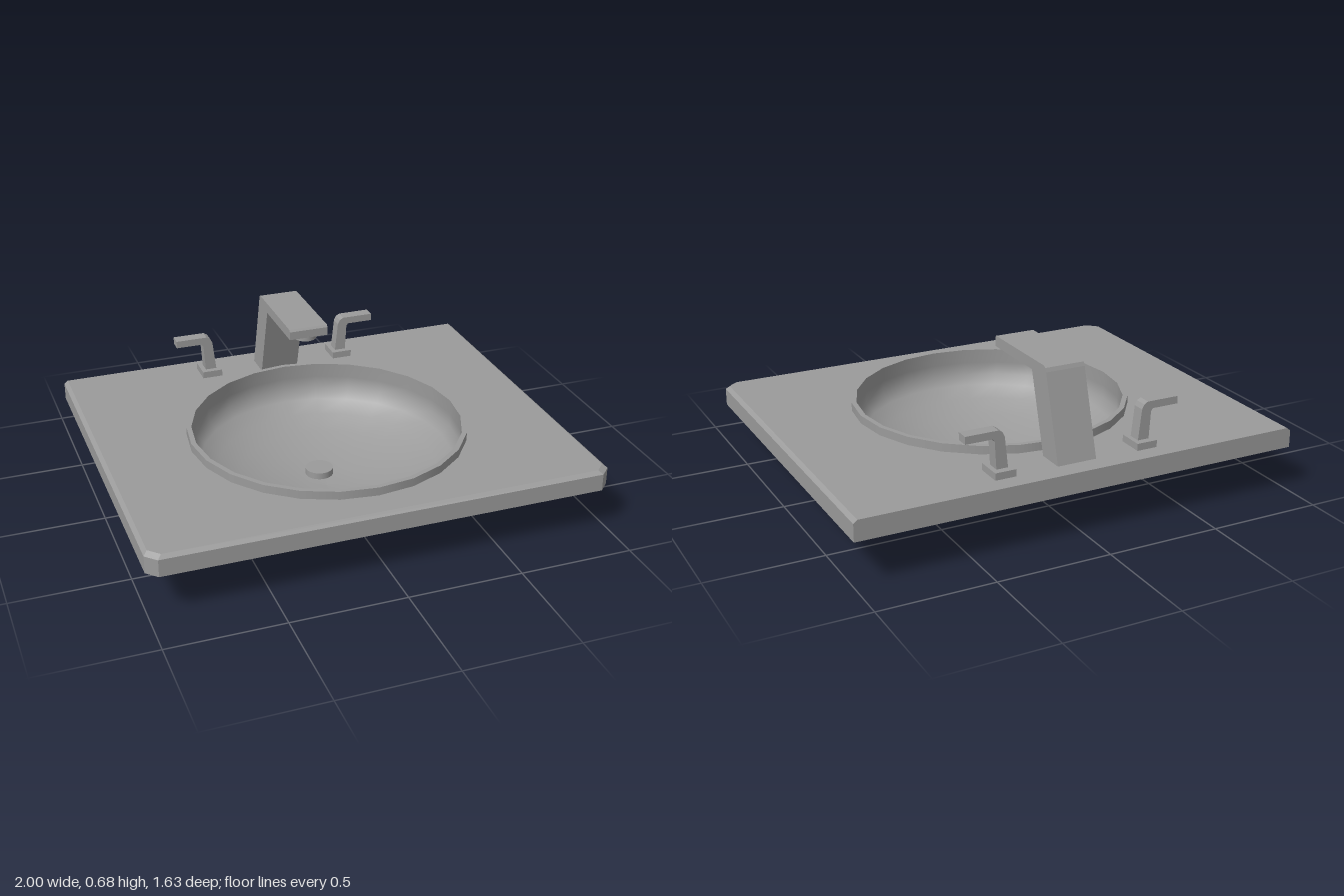
import * as THREE from 'three';

const BOWL_Z = 0.058;
const SIDES = 24;

export function createModel() {
  const group = new THREE.Group();
  const grey = new THREE.MeshStandardMaterial({ color: 0x9b9b9b });
  const shell = new THREE.MeshStandardMaterial({ color: 0x9b9b9b, side: THREE.DoubleSide });

  function add(name, geometry, x = 0, y = 0, z = 0, material = grey, parent = group) {
    const mesh = new THREE.Mesh(geometry, material);
    mesh.name = name;
    mesh.position.set(x, y, z);
    parent.add(mesh);
  }
  const shapeOf = (points) => new THREE.Shape(points.map(([x, y]) => new THREE.Vector2(x, y)));
  const slab = (points, depth) => new THREE.ExtrudeGeometry(shapeOf(points), { depth, bevelEnabled: false })
    .translate(0, 0, -depth / 2);

  // Countertop: clipped front corners, round cut-out
  const outline = shapeOf([
    [-1, 0.815], [-1, -0.77], [-0.955, -0.815], [0.955, -0.815], [1, -0.77], [1, 0.815],
  ]);
  const hole = new THREE.Path();
  for (let i = 0; i < SIDES; i++) {
    const a = -i / SIDES * Math.PI * 2;
    const x = 0.599 * Math.sin(a), y = 0.599 * Math.cos(a) - BOWL_Z;
    if (i) hole.lineTo(x, y); else hole.moveTo(x, y);
  }
  hole.closePath();
  outline.holes.push(hole);
  const top = new THREE.ExtrudeGeometry(outline, { depth: 0.09, steps: 2, bevelEnabled: false });
  top.rotateX(-Math.PI / 2);
  // Ease the upper edge on the front and sides by insetting the top ring
  const p = top.attributes.position;
  for (let i = 0; i < p.count; i++) {
    const y = p.getY(i);
    if (y > 0.08) {
      if (Math.abs(p.getX(i)) > 0.9) p.setX(i, p.getX(i) * 0.983);
      if (p.getZ(i) > 0.75) p.setZ(i, p.getZ(i) - 0.018);
    } else if (y > 0.03) {
      p.setY(i, 0.076);
    }
  }
  top.computeVertexNormals();
  add('countertop', top, 0, 0.2, 0);

  // Bowl: shallow basin rising to a short upright wall
  const bowl = [
    [0, 0.003], [0.08, 0.006], [0.15, 0.013], [0.27, 0.034], [0.39, 0.07],
    [0.49, 0.113], [0.56, 0.16], [0.597, 0.2], [0.597, 0.26], [0.595, 0.327],
  ].map(([r, y]) => new THREE.Vector2(r, y));
  add('bowl', new THREE.LatheGeometry(bowl, SIDES), 0, 0, BOWL_Z, shell);

  // Raised rim
  const rimWall = new THREE.CylinderGeometry(0.617, 0.617, 0.047, SIDES, 1, true);
  add('rimWall', rimWall, 0, 0.3035, BOWL_Z, shell);
  const rimTop = new THREE.RingGeometry(0.595, 0.617, SIDES).rotateX(-Math.PI / 2);
  add('rimTop', rimTop, 0, 0.327, BOWL_Z);

  // Drain stopper
  add('drain', new THREE.CylinderGeometry(0.063, 0.063, 0.03, 24), 0, 0.03, -0.04);

  // Faucet: leaning column and flat spout, drawn in (z, y)
  const faucet = slab([
    [-0.73, 0.28], [-0.607, 0.28], [-0.502, 0.632], [-0.176, 0.632], [-0.176, 0.669],
    [-0.183, 0.679], [-0.603, 0.679], [-0.613, 0.672], [-0.62, 0.655],
  ], 0.177).rotateY(-Math.PI / 2);
  add('faucet', faucet);
  add('aerator', new THREE.CylinderGeometry(0.05, 0.05, 0.025, 20), 0, 0.6265, -0.225);

  // Handles, mirrored left and right
  for (const side of [-1, 1]) {
    const handle = new THREE.Group();
    handle.name = side > 0 ? 'leftHandle' : 'rightHandle';
    add('handleBase', new THREE.BoxGeometry(0.093, 0.04, 0.115), side * 0.327, 0.301, -0.678, grey, handle);
    const lever = slab([
      [0.3, 0.31], [0.352, 0.31], [0.36, 0.44], [0.368, 0.452], [0.488, 0.452],
      [0.488, 0.485], [0.343, 0.485], [0.326, 0.475], [0.316, 0.455],
    ].map(([x, y]) => [side * x, y]), 0.056);
    add('lever', lever, 0, 0, -0.676, grey, handle);
    group.add(handle);
  }

  return group;
}
